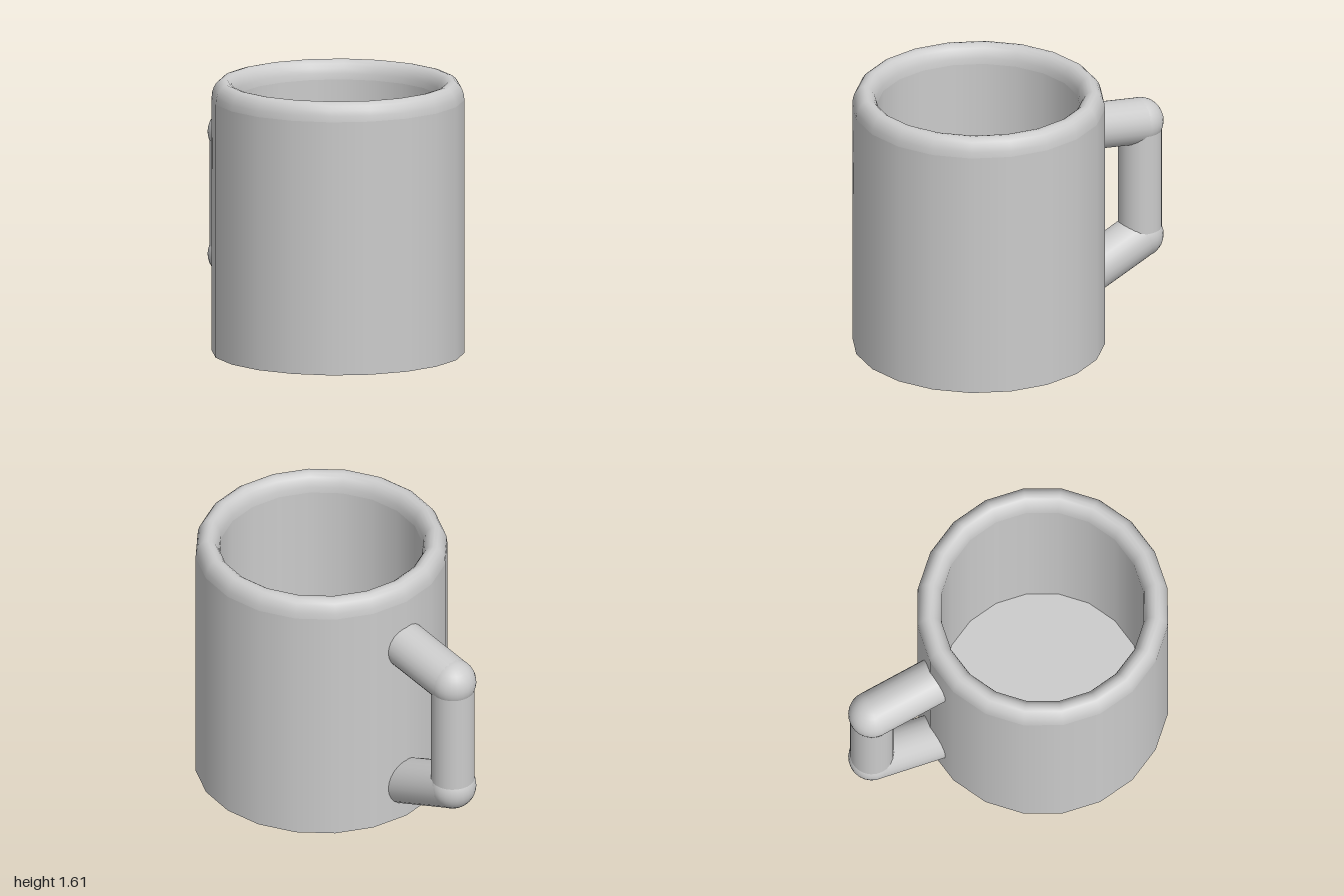
import * as THREE from 'three';

const SIDES = 20, R = 0.737, INNER = 0.595, RIM_Y = 1.5, FLOOR_Y = 0.12, CUP_Z = 0.262;

export function createModel() {
  const model = new THREE.Group();
  model.name = 'mug';
  const material = new THREE.MeshStandardMaterial({ color: 0xcccccc });

  const add = (name, geometry, parent) => {
    const mesh = new THREE.Mesh(geometry, material);
    mesh.name = name;
    parent.add(mesh);
    return mesh;
  };
  const lathe = (points) =>
    new THREE.LatheGeometry(points.map(([r, y]) => new THREE.Vector2(r, y)), SIDES);

  // Cup: separate lathes keep the edges between wall, rim and floor sharp
  const cup = new THREE.Group();
  cup.name = 'cup';
  cup.position.z = CUP_Z;
  model.add(cup);
  add('outerWall', lathe([[R, 0], [R, RIM_Y]]), cup);
  add('innerWall', lathe([[INNER, RIM_Y], [INNER, FLOOR_Y]]), cup);
  add('base', lathe([[0, 0], [R, 0]]), cup);
  add('innerFloor', lathe([[INNER, FLOOR_Y], [0, FLOOR_Y]]), cup);

  // Rounded rim: half an ellipse from the outer wall over to the inner wall
  const rim = [];
  const half = (R - INNER) / 2;
  for (let i = 0; i <= 10; i++) {
    const a = (i / 10) * Math.PI;
    rim.push([INNER + half + half * Math.cos(a), RIM_Y + 0.11 * Math.sin(a)]);
  }
  add('rim', lathe(rim), cup);

  // Handle: three straight bars with ball joints at the corners
  const handle = new THREE.Group();
  handle.name = 'handle';
  handle.position.x = -0.012;
  model.add(handle);
  const path = [[1.193, -0.4], [1.127, -0.862], [0.402, -0.862], [0.21, -0.4]]
    .map(([y, z]) => new THREE.Vector3(0, y, z));
  const names = ['upperArm', 'grip', 'lowerArm'];
  const radii = [0.137, 0.128, 0.137];
  names.forEach((name, i) => {
    const dir = path[i + 1].clone().sub(path[i]);
    const bar = add(name, new THREE.CylinderGeometry(radii[i], radii[i], dir.length(), 24), handle);
    bar.position.copy(path[i]).add(path[i + 1]).multiplyScalar(0.5);
    bar.quaternion.setFromUnitVectors(new THREE.Vector3(0, 1, 0), dir.normalize());
  });
  for (const i of [1, 2]) {
    add(i === 1 ? 'upperJoint' : 'lowerJoint', new THREE.SphereGeometry(0.138, 24, 16), handle)
      .position.copy(path[i]);
  }
  return model;
}
